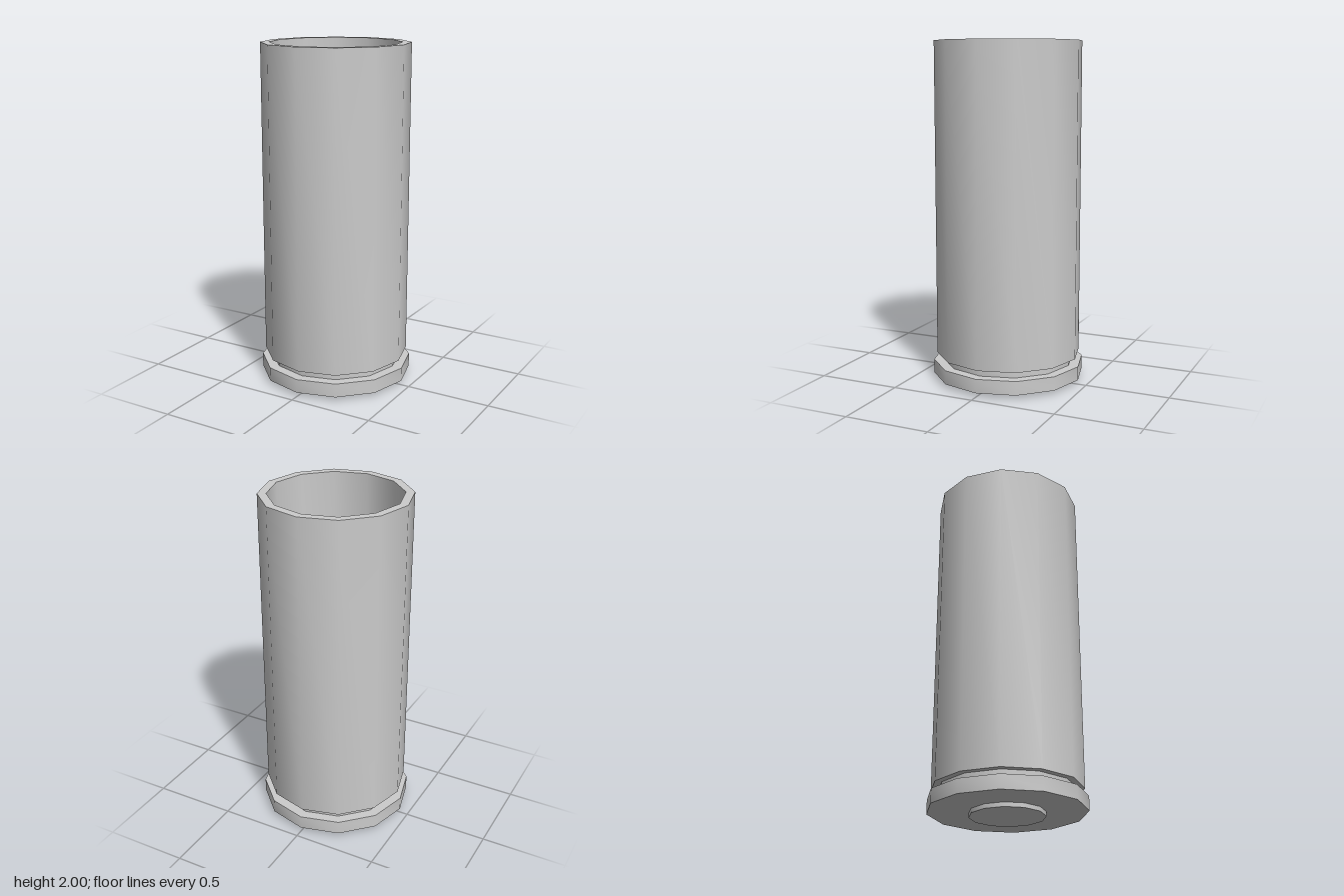
import * as THREE from 'three';
import { toCreasedNormals } from 'three/addons/utils/BufferGeometryUtils.js';

const SIDES = 12;

// Revolve a [radius, height] profile; smooth round the sides, sharp at profile corners
function turned(name, profile, material) {
  const points = profile.map(([r, y]) => new THREE.Vector2(r, y));
  const geometry = toCreasedNormals(new THREE.LatheGeometry(points, SIDES), 0.7);
  const mesh = new THREE.Mesh(geometry, material);
  mesh.name = name;
  return mesh;
}

export function createModel() {
  const model = new THREE.Group();
  model.name = 'cartridgeCase';
  const metal = new THREE.MeshStandardMaterial({ color: 0xcccccc });

  // Hollow case: base, rim, extractor groove, outer wall, mouth, inner wall, floor
  model.add(turned('case', [
    [0, 0.025], [0.45, 0.025], [0.45, 0.107], [0.39, 0.107], [0.39, 0.15],
    [0.43, 0.15], [0.43, 2], [0.38, 2], [0.38, 0.15], [0, 0.15],
  ], metal));

  // Primer standing slightly proud of the base
  model.add(turned('primer', [
    [0, 0], [0.215, 0], [0.215, 0.03],
  ], metal));

  return model;
}
